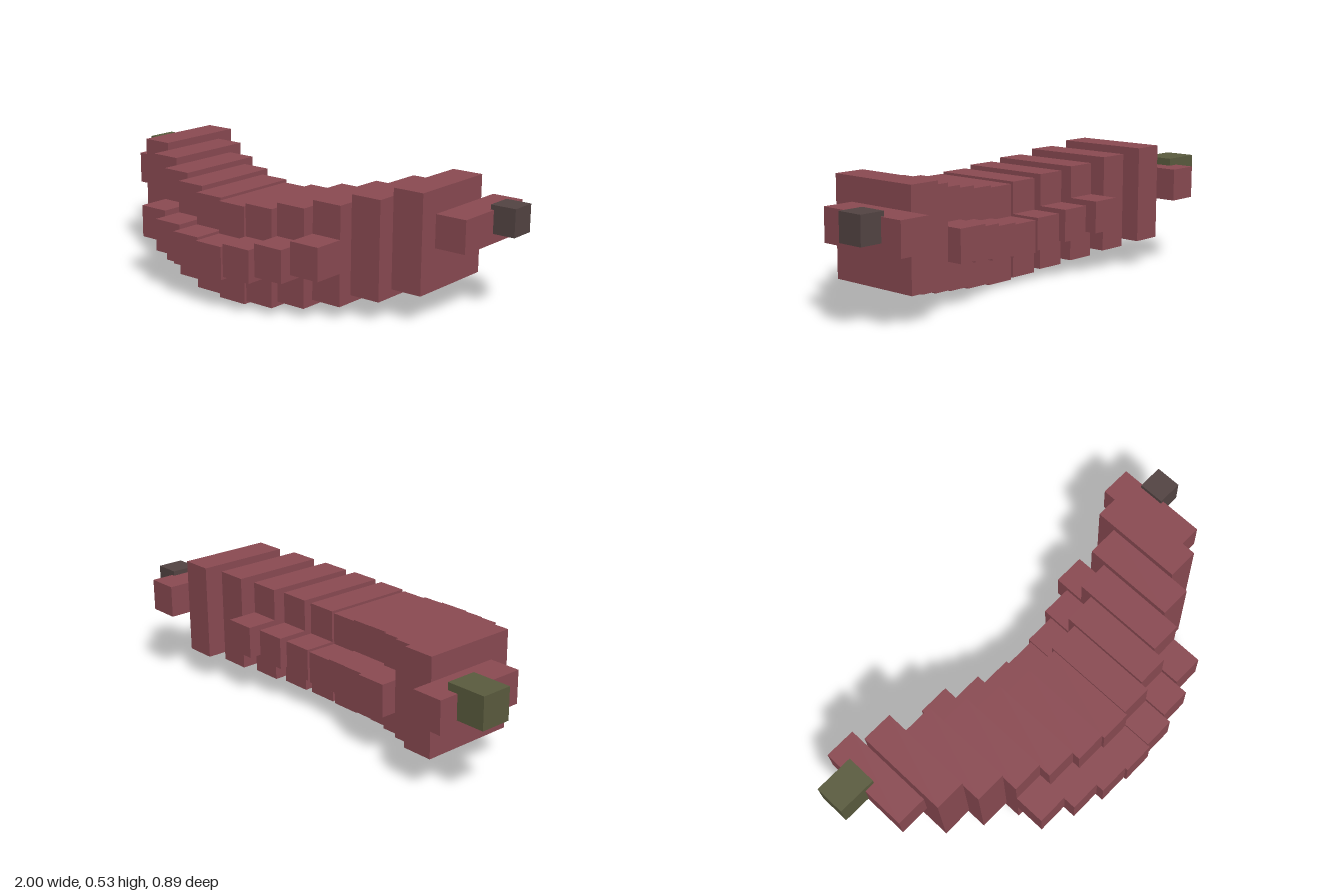
import * as THREE from 'three';

const material = (name, color) => {
  const m = new THREE.MeshStandardMaterial({ color });
  m.name = name;
  return m;
};

export function createModel() {
  const model = new THREE.Group();
  model.name = 'curvedFruit';
  const skin = material('dullRed', 0x8a4a52);
  const olive = material('olive', 0x5a5b3e);
  const dark = material('darkBrown', 0x534443);

  // Box given by its lower and upper limits on each axis
  const addBox = (name, mat, [x0, x1], [y0, y1], [z0, z1], parent = model) => {
    const mesh = new THREE.Mesh(new THREE.BoxGeometry(x1 - x0, y1 - y0, z1 - z0), mat);
    mesh.position.set((x0 + x1) / 2, (y0 + y1) / 2, (z0 + z1) / 2);
    mesh.name = name;
    parent.add(mesh);
  };

  const unit = 0.1367; // one block
  const size = unit * 3; // body height and depth
  const midX = 0.015;

  // Bottom and back of each slice, from the middle outwards
  const slices = [
    [0, -0.101], [0.011, -0.112], [0.031, -0.146], [0.055, -0.2], [0.087, -0.27], [0.12, -0.354],
  ];

  for (let i = -6; i <= 6; i++) {
    const k = Math.abs(i);
    const x = [midX + (i - 0.5) * unit, midX + (i + 0.5) * unit];
    if (k === 6) {
      // Narrow block at each end
      addBox('endBlock', skin, x, [0.294, 0.431], [-0.445, -0.034]);
      continue;
    }
    const [y, z] = slices[k];
    const slice = new THREE.Group();
    slice.name = 'bodySlice';
    addBox('sliceCore', skin, x, [y, y + size], [z, z + size], slice);
    // Raised ridges along the front and back of the middle slices
    if (k <= 3) {
      const ridgeY = [y + unit, y + 2 * unit];
      addBox('frontRidge', skin, x, ridgeY, [z + size, z + size + unit], slice);
      addBox('backRidge', skin, x, ridgeY, [z - unit, z], slice);
    }
    model.add(slice);
  }

  // Stem and blossom tip
  addBox('stem', olive, [-1, -0.826], [0.328, 0.462], [-0.36, -0.226]);
  addBox('blossomTip', dark, [0.889, 1], [0.335, 0.451], [-0.344, -0.229]);

  return model;
}
